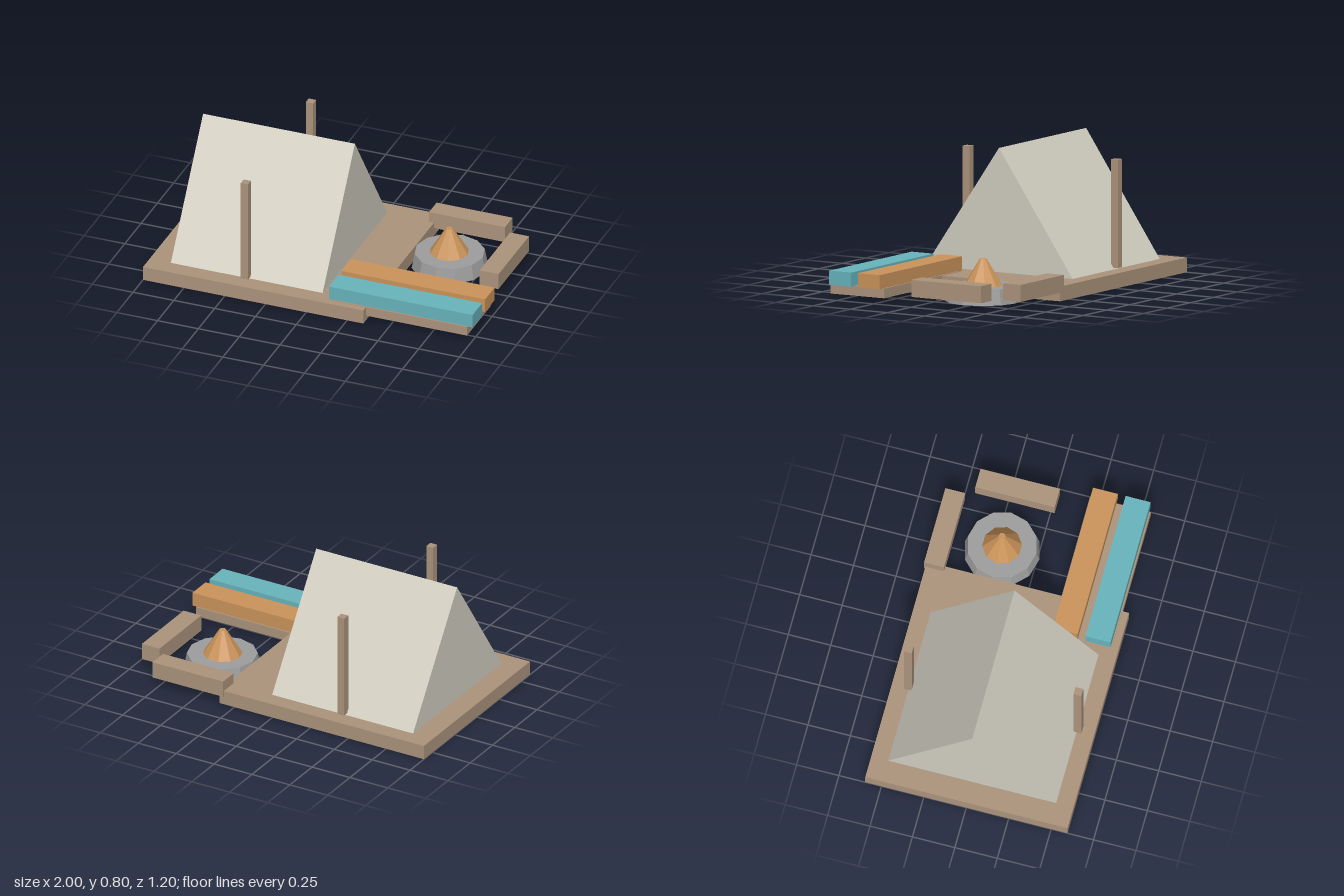
import * as THREE from 'three';

const material = (name, color) => {
  const m = new THREE.MeshStandardMaterial({ color, flatShading: true });
  m.name = name;
  return m;
};

export function createModel() {
  const wood = material('wood', 0xab937b);
  const canvas = material('canvas', 0xd0ccbf);
  const orange = material('orange', 0xca935a);
  const teal = material('teal', 0x67b3bb);
  const stone = material('stone', 0x9d9d9d);
  const group = new THREE.Group();

  const add = (name, geometry, mat, x = 0, y = 0, z = 0) => {
    const mesh = new THREE.Mesh(geometry, mat);
    mesh.name = name;
    mesh.position.set(x, y, z);
    group.add(mesh);
    return mesh;
  };

  // Box given by its limits on each axis
  const box = (name, mat, [x0, x1], [y0, y1], [z0, z1]) =>
    add(name, new THREE.BoxGeometry(x1 - x0, y1 - y0, z1 - z0), mat,
      (x0 + x1) / 2, (y0 + y1) / 2, (z0 + z1) / 2);

  // Wooden deck
  box('deck', wood, [-1, 0.35], [0, 0.085], [-0.595, 0.597]);

  // Tent: triangular prism with its ridge along x
  const triangle = new THREE.Shape();
  triangle.moveTo(-0.495, 0.085);
  triangle.lineTo(0.495, 0.085);
  triangle.lineTo(0, 0.8);
  triangle.closePath();
  const prism = new THREE.ExtrudeGeometry(triangle, { depth: 0.93, bevelEnabled: false });
  prism.rotateY(Math.PI / 2);
  add('tent', prism, canvas, -0.87, 0, 0);

  // Poles in front of and behind the tent
  for (const [name, z] of [['frontPole', 0.502], ['backPole', -0.497]]) {
    box(name, wood, [-0.43, -0.385], [0.094, 0.717], [z - 0.023, z + 0.023]);
  }

  // Low platform with two bedrolls
  box('platform', wood, [0.15, 0.97], [0.032, 0.088], [0.2, 0.558]);
  box('orangeBedroll', orange, [0.12, 1], [0.086, 0.168], [0.21, 0.356]);
  box('tealBedroll', teal, [0.12, 1], [0.086, 0.168], [0.402, 0.549]);

  // Log seats around the fire
  box('backLog', wood, [0.32, 0.786], [0.051, 0.149], [-0.603, -0.486]);
  box('sideLog', wood, [0.835, 0.951], [0.051, 0.149], [-0.44, 0.028]);

  // Fire pit and flame
  add('firePit', new THREE.CylinderGeometry(0.202, 0.219, 0.09, 12), stone, 0.558, 0.045, -0.207);
  const flame = add('flame', new THREE.CylinderGeometry(0.02, 0.116, 0.155, 10), orange, 0.556, 0.1635, -0.207);
  flame.rotation.y = Math.PI / 2;

  return group;
}
